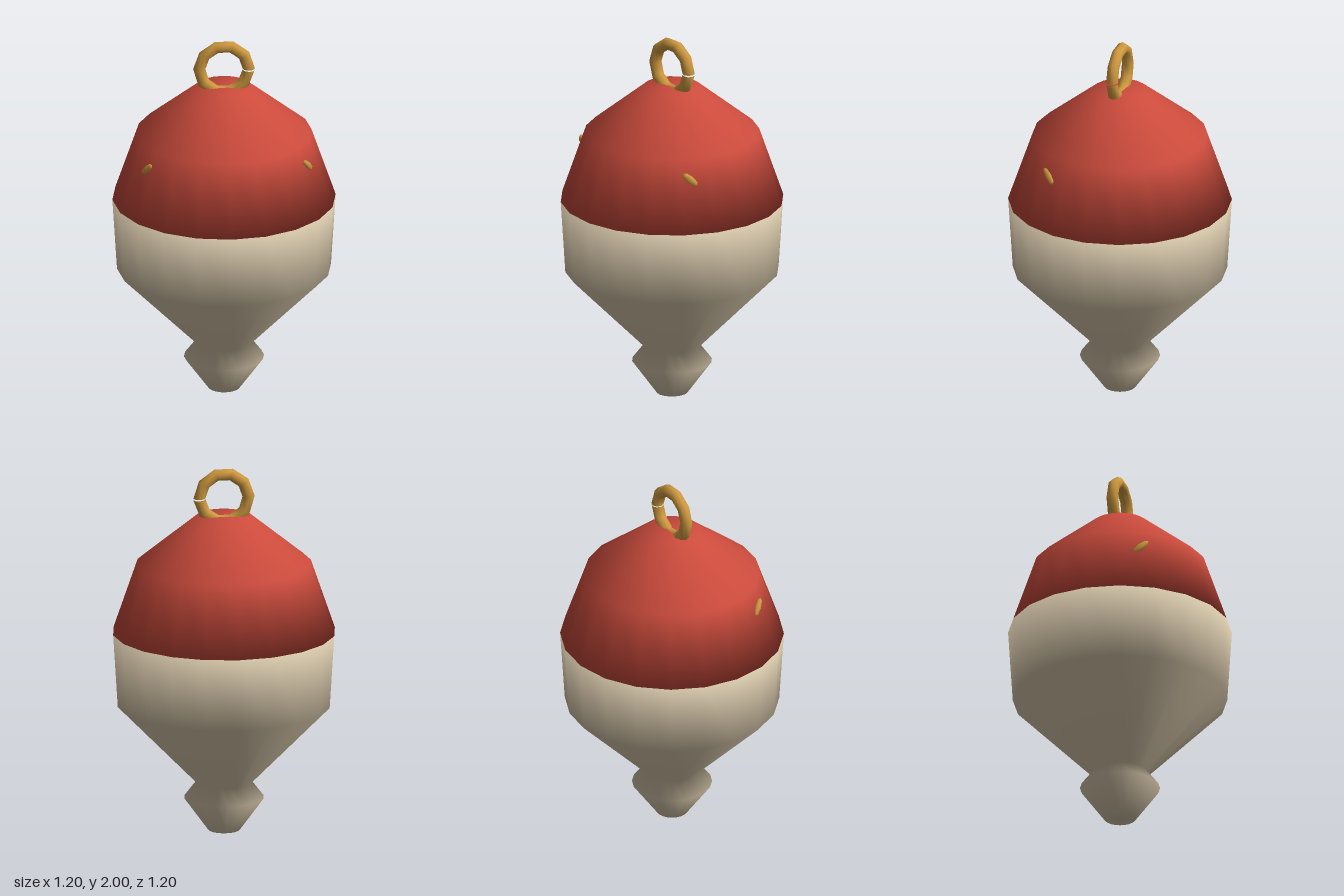
import * as THREE from 'three';

const SIDES = 20;

function material(name, color) {
  const m = new THREE.MeshStandardMaterial({ color });
  m.name = name;
  return m;
}

// Revolve a bottom-to-top profile of [radius, height] pairs
function turned(name, profile, mat) {
  const points = profile.map(([r, y]) => new THREE.Vector2(r, y));
  const mesh = new THREE.Mesh(new THREE.LatheGeometry(points, SIDES), mat);
  mesh.name = name;
  return mesh;
}

export function createModel() {
  const model = new THREE.Group();
  model.name = 'floatBobber';

  const red = material('red', 0xcb4b3c);
  const cream = material('cream', 0xcfc0a4);
  const brass = material('brass', 0xcf993f);

  // Lower half with its tapered knob
  model.add(turned('lowerBody', [
    [0, 0], [0.085, 0], [0.215, 0.18], [0.15, 0.265],
    [0.575, 0.7], [0.6, 1.1], [0, 1.1],
  ], cream));

  // Upper half, softly shaded over the rim and the flat top
  model.add(turned('upperBody', [
    [0, 1.1], [0.6, 1.1], [0.47, 1.48], [0.15, 1.74], [0, 1.74],
  ], red));

  // Split ring, with a hairline gap on the model's left
  const ring = new THREE.Mesh(new THREE.TorusGeometry(0.133, 0.033, 8, 10, 6.23), brass);
  ring.name = 'topRing';
  ring.position.y = 1.842;
  model.add(ring);

  // Small slanted studs, one on each side of the front
  for (const side of [-1, 1]) {
    const stud = new THREE.Mesh(new THREE.SphereGeometry(1, 6, 4), brass);
    stud.name = side > 0 ? 'leftStud' : 'rightStud';
    const along = new THREE.Vector3(-0.045 * side, 0.07, 0.065).normalize();
    const out = new THREE.Vector3(0.81 * side, 0.32, 0.49);
    out.addScaledVector(along, -out.dot(along)).normalize();
    const across = new THREE.Vector3().crossVectors(along, out);
    stud.quaternion.setFromRotationMatrix(new THREE.Matrix4().makeBasis(across, along, out));
    stud.scale.set(0.021, 0.056, 0.016);
    stud.position.set(0.432 * side, 1.38, 0.258);
    model.add(stud);
  }

  return model;
}
